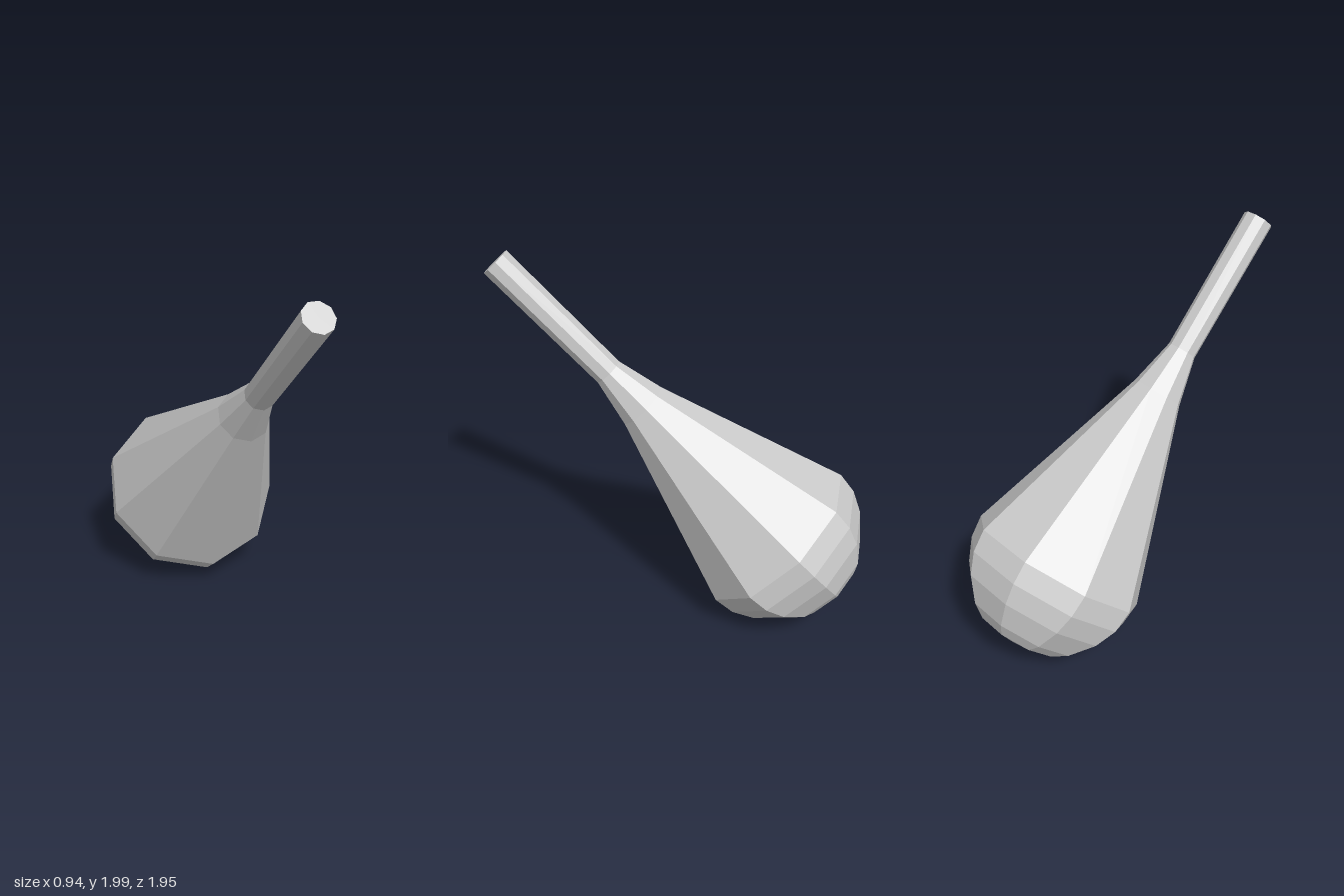
import * as THREE from 'three';

const SIDES = 9;

// Faceted part turned around the long axis; profile points are [radius, distance along axis]
function turned(name, profile, material) {
  const points = profile.map(([r, t]) => new THREE.Vector2(r, t));
  const geometry = new THREE.LatheGeometry(points, SIDES, THREE.MathUtils.degToRad(-5.5));
  const mesh = new THREE.Mesh(geometry, material);
  mesh.name = name;
  return mesh;
}

export function createModel() {
  const group = new THREE.Group();
  group.name = 'shaker';
  const material = new THREE.MeshStandardMaterial({ color: 0xcccccc, flatShading: true, side: THREE.DoubleSide });

  const shaker = new THREE.Group();
  shaker.name = 'tiltedShaker';

  // Rounded head tapering into the neck
  shaker.add(turned('head', [
    [0, -0.477], [0.23, -0.417], [0.312, -0.36], [0.415, -0.235], [0.467, -0.12],
    [0.48, 0], [0.135, 1.02], [0.077, 1.27],
  ], material));

  // Straight handle with a flat end cap
  shaker.add(turned('handle', [[0.077, 1.27], [0.079, 2.044], [0, 2.044]], material));

  // Lean the long axis forward and slightly to the right
  const axis = new THREE.Vector3(-0.0636, 0.7167, 0.6947).normalize();
  const across = new THREE.Vector3(1, 0, 0).addScaledVector(axis, -axis.x).normalize();
  const depth = new THREE.Vector3().crossVectors(across, axis);
  shaker.quaternion.setFromRotationMatrix(new THREE.Matrix4().makeBasis(across, axis, depth));
  shaker.position.set(0, 0.48, -0.495);

  group.add(shaker);
  return group;
}
